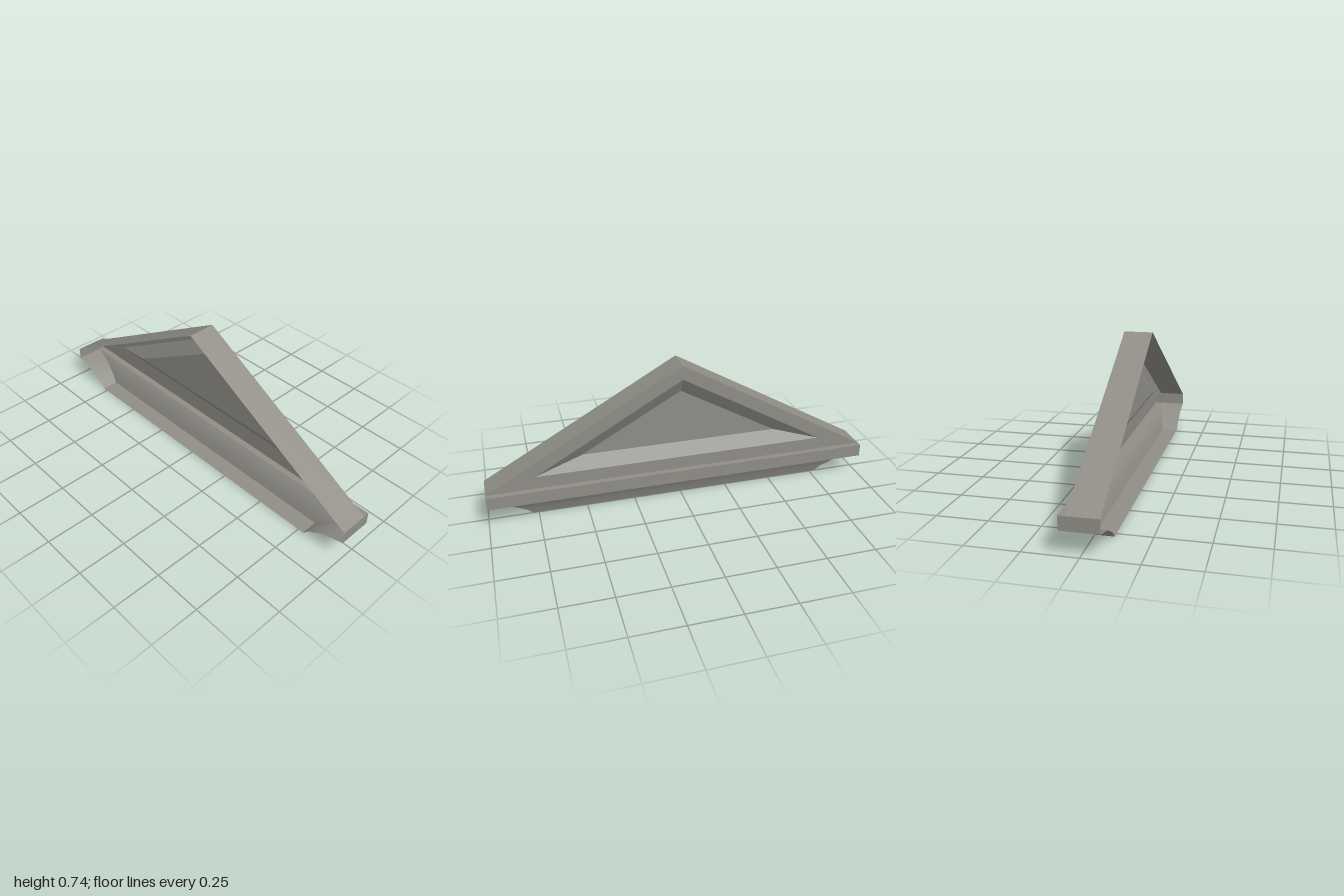
import * as THREE from 'three';
import { toCreasedNormals } from 'three/addons/utils/BufferGeometryUtils.js';

const FRONT = 0.088, WALL = -0.056, LEDGE = -0.088, PANEL = -0.011;
const LEDGE_TOP = 0.175, LEDGE_BOTTOM = 0.11, APEX = 0.742;

// Skin a surface through rows of [x, y, z] points
function loft(rows, crease = 0.6) {
  const n = rows[0].length, index = [];
  for (let i = 0; i < rows.length - 1; i++) {
    for (let j = 0; j < n - 1; j++) {
      const a = i * n + j, d = a + n;
      index.push(a, a + 1, d + 1, a, d + 1, d);
    }
  }
  const geometry = new THREE.BufferGeometry();
  geometry.setAttribute('position', new THREE.Float32BufferAttribute(rows.flat(2), 3));
  geometry.setIndex(index);
  geometry.computeVertexNormals();
  return toCreasedNormals(geometry, crease);
}

const triangle = (halfWidth, base, top) => [[halfWidth, base], [-halfWidth, base], [0, top]];
const toPoints = (list) => list.map(([x, y]) => new THREE.Vector2(x, y));
const atDepth = (list, z) => list.map(([x, y]) => [x, y, z]);

export function createModel() {
  const group = new THREE.Group();
  // The shell is open against the mounting side
  const stone = new THREE.MeshStandardMaterial({ color: 0x8f8d86, side: THREE.DoubleSide });
  stone.name = 'grey stone';
  const add = (name, geometry) => {
    const mesh = new THREE.Mesh(geometry, stone);
    mesh.name = name;
    group.add(mesh);
  };

  // Flat triangular face, turned to look backwards
  const flat = (shape, z) => new THREE.ShapeGeometry(shape).rotateY(Math.PI).translate(0, 0, z);
  const outer = triangle(0.755, 0.24, 0.67);
  const inner = triangle(0.51, 0.305, 0.592);
  const frame = new THREE.Shape(toPoints(triangle(1, LEDGE_TOP, APEX)));
  frame.holes.push(new THREE.Path(toPoints(outer)));
  add('pedimentFrame', flat(frame, WALL));
  add('recessedPanel', flat(new THREE.Shape(toPoints(inner)), PANEL));

  // Sloping border between frame and panel
  const closed = (list) => [...list, list[0]];
  add('recessBevel', loft([atDepth(closed(outer), WALL), atDepth(closed(inner), PANEL)], 0.1));

  // Two roof slopes
  const roof = [[1, LEDGE_TOP], [0, APEX], [-1, LEDGE_TOP]];
  add('roofSlopes', loft([atDepth(roof, WALL), atDepth(roof, FRONT)]));

  // Projecting ledge and its two end caps
  const ledgeProfile = [
    [LEDGE_TOP, WALL], [LEDGE_TOP, LEDGE], [LEDGE_BOTTOM, LEDGE], [LEDGE_BOTTOM, WALL],
  ];
  add('ledge', loft(ledgeProfile.map(([y, z]) => [[-1, y, z], [1, y, z]])));
  for (const side of [-1, 1]) {
    const ends = side < 0 ? [FRONT, LEDGE] : [LEDGE, FRONT];
    add(side < 0 ? 'rightLedgeEnd' : 'leftLedgeEnd',
      loft([LEDGE_TOP, LEDGE_BOTTOM].map((y) => ends.map((z) => [side, y, z]))));
  }

  // Hollow-curved moulding with mitred corners: [half width, y, z]
  const coveProfile = [
    [1, LEDGE_BOTTOM, WALL], [0.895, 0.082, -0.032], [0.81, 0.032, -0.011], [0.78, 0, 0],
  ];
  add('coveMoulding', loft(coveProfile.map(([x, y, z]) =>
    [[-x, y, FRONT], [-x, y, z], [x, y, z], [x, y, FRONT]])));
  add('underside', loft([0, FRONT].map((z) => [[-0.78, 0, z], [0.78, 0, z]])));

  return group;
}
